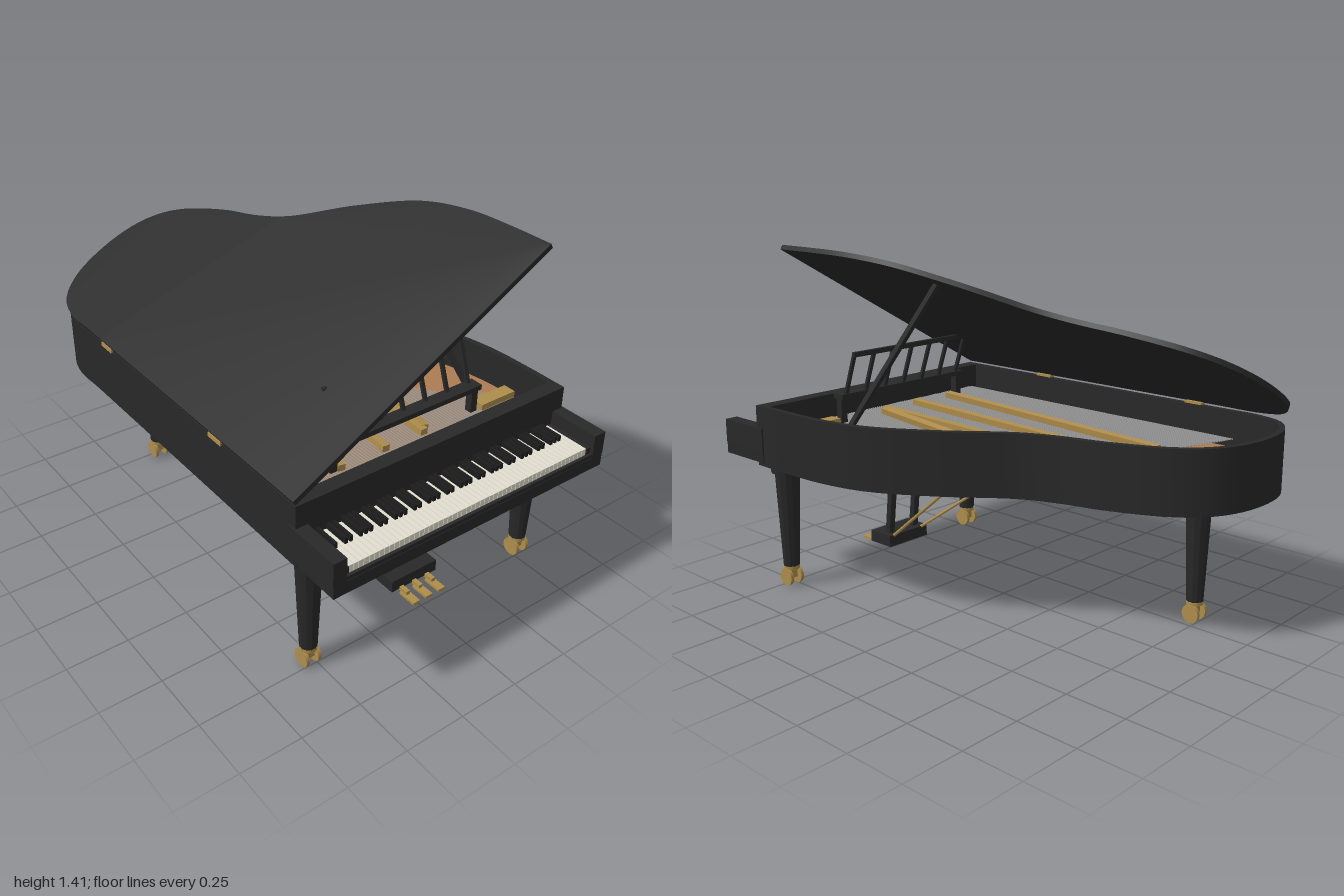
import * as THREE from 'three';
import { toCreasedNormals } from 'three/addons/utils/BufferGeometryUtils.js';

const paint = (name, color) => Object.assign(new THREE.MeshStandardMaterial({ color }), { name });
const black = paint('black lacquer', 0x282828);
const ebony = paint('ebony key', 0x1c1c1c);
const ivory = paint('ivory key', 0xe2ddd0);
const brass = paint('brass', 0xae8d4c);
const wood = paint('soundboard wood', 0xac7c52);
const steel = paint('string steel', 0x989898);

const V = (x, y, z) => new THREE.Vector3(x, y, z);

function add(parent, name, geometry, material, x = 0, y = 0, z = 0) {
  const mesh = new THREE.Mesh(geometry, material);
  mesh.name = name;
  mesh.position.set(x, y, z);
  parent.add(mesh);
  return mesh;
}

// box given by its low and high corners
function box(parent, name, material, [x0, y0, z0], [x1, y1, z1]) {
  return add(parent, name, new THREE.BoxGeometry(x1 - x0, y1 - y0, z1 - z0), material,
    (x0 + x1) / 2, (y0 + y1) / 2, (z0 + z1) / 2);
}

// straight bar between two points, square or round
function bar(parent, name, material, a, b, w, d = w, round = false) {
  const len = a.distanceTo(b);
  const geo = round ? new THREE.CylinderGeometry(w, w, len, 10) : new THREE.BoxGeometry(w, len, d);
  const mesh = add(parent, name, geo, material);
  mesh.position.copy(a).lerp(b, 0.5);
  mesh.quaternion.setFromUnitVectors(V(0, 1, 0), b.clone().sub(a).normalize());
  return mesh;
}

// curved case outline as (x, -z), from the front right round the tail to the front left
const caseCurve = new THREE.CatmullRomCurve3([
  [0.62, -0.79], [0.62, -0.6], [0.61, -0.4], [0.56, -0.19], [0.42, 0.05], [0.24, 0.29], [0.175, 0.44], [0.13, 0.6],
  [0.03, 0.82], [-0.06, 0.92], [-0.18, 0.98], [-0.34, 1], [-0.48, 0.975], [-0.58, 0.9], [-0.62, 0.78],
  [-0.62, 0.6], [-0.62, -0.79],
].map(([x, y]) => V(x, y, 0)), false, 'centripetal');

function outline(inset, front) {
  const pts = [];
  for (let i = 0; i <= 110; i++) {
    const p = caseCurve.getPointAt(i / 110), t = caseCurve.getTangentAt(i / 110);
    pts.push(new THREE.Vector2(p.x - t.y * inset, Math.max(p.y + t.x * inset, -front)));
  }
  return pts;
}

function slab(shape, depth) {
  const geo = new THREE.ExtrudeGeometry(shape, { depth, bevelEnabled: false });
  return toCreasedNormals(geo.rotateX(-Math.PI / 2), 0.5);
}

function buildCase(g) {
  const rim = new THREE.Shape(outline(0, 0.79));
  rim.holes.push(new THREE.Path(outline(0.025, 0.73)));
  add(g, 'rim', slab(rim, 0.24), black, 0, 0.54, 0);
  add(g, 'bottomBoard', slab(new THREE.Shape(outline(0, 0.79)), 0.015), black, 0, 0.53, 0);
  add(g, 'soundboard', slab(new THREE.Shape(outline(0.02, 0.735)), 0.015), wood, 0, 0.62, 0);
  // hinged lid, swung open about the straight side
  const lid = new THREE.Group();
  lid.name = 'lid';
  lid.position.set(-0.62, 0.787, 0);
  lid.rotation.z = THREE.MathUtils.degToRad(29.3);
  add(lid, 'lidPanel', slab(new THREE.Shape(outline(0, 0.79)), 0.02), black, 0.62, 0, 0);
  g.add(lid);
  for (const z of [-0.49, 0.31]) box(g, 'hinge', brass, [-0.626, 0.772, z - 0.04], [-0.6, 0.79, z + 0.04]);
  bar(g, 'lidProp', black, V(0.466, 0.67, 0.435), V(0.289, 1.3, 0.07), 0.02);
}

function buildInterior(g) {
  // strings shorten from bass to treble
  const tail = [[-0.56, -0.72], [-0.28, -0.63], [0.17, 0.2], [0.34, 0.44], [0.53, 0.58]];
  const endZ = x => {
    const k = Math.max(1, tail.findIndex(p => p[0] >= x));
    const [a, b] = [tail[k - 1], tail[k]];
    return THREE.MathUtils.mapLinear(x, a[0], b[0], a[1], b[1]);
  };
  for (let i = 0; i < 88; i++) {
    const x = -0.55 + i * 0.0122;
    box(g, 'string', steel, [x, 0.68, endZ(x)], [x + 0.004, 0.684, 0.72]);
  }
  // brass frame struts
  const struts = [[-0.3, 0.62, -0.18, -0.62], [-0.1, 0.62, -0.02, -0.55], [0.08, 0.62, 0.12, -0.35], [0.1, 0.6, 0.23, -0.1]];
  for (const [x0, z0, x1, z1] of struts) bar(g, 'frameStrut', brass, V(x0, 0.7, z0), V(x1, 0.7, z1), 0.03, 0.025);
  box(g, 'frontStrut', brass, [0.36, 0.69, 0.575], [0.53, 0.715, 0.63]);
}

function buildKeyboard(g) {
  box(g, 'keyBed', black, [-0.625, 0.545, 0.75], [0.625, 0.595, 1]);
  box(g, 'keySlip', black, [-0.572, 0.595, 0.985], [0.572, 0.61, 0.998]);
  for (const s of [-1, 1]) {
    add(g, 'keyArm', new THREE.BoxGeometry(0.055, 0.095, 0.25), black, s * 0.5995, 0.6425, 0.875);
    add(g, 'keyBlock', new THREE.BoxGeometry(0.02, 0.04, 0.195), black, s * 0.563, 0.615, 0.888);
  }
  const w = 1.106 / 52;
  for (let i = 0; i < 52; i++) {
    const x = -0.553 + i * w;
    box(g, 'whiteKey', ivory, [x + 0.001, 0.597, 0.788], [x + w - 0.001, 0.635, 0.982]);
    if (i < 51 && [0, 2, 3, 5, 6].includes(i % 7))
      box(g, 'blackKey', ebony, [x + w - 0.006, 0.63, 0.788], [x + w + 0.006, 0.657, 0.89]);
  }
}

function buildMusicDesk(g) {
  box(g, 'deskFoot', black, [-0.347, 0.79, 0.575], [0.347, 0.81, 0.63]);
  box(g, 'deskTopBar', black, [-0.32, 0.968, 0.523], [0.32, 0.988, 0.538]);
  for (let i = -3; i <= 3; i++)
    bar(g, 'deskPost', black, V(i * 0.105, 0.805, 0.59), V(i * 0.105, 0.975, 0.53), 0.015, 0.012);
  // shelf blocks holding the desk above the case
  for (const s of [-1, 1]) add(g, 'deskSupport', new THREE.BoxGeometry(0.03, 0.1, 0.03), black, s * 0.33, 0.74, 0.6);
}

function buildLeg(g, x, z) {
  const leg = new THREE.Group();
  leg.name = 'leg';
  leg.position.set(x, 0, z);
  g.add(leg);
  const facet = geo => geo.rotateY(Math.PI / 12).toNonIndexed();
  const parts = [['legCap', 0.066, 0.066, 0.495, 0.535], ['legShaft', 0.052, 0.034, 0.085, 0.495]];
  for (const [name, top, low, y0, y1] of parts) {
    const geo = facet(new THREE.CylinderGeometry(top, low, y1 - y0, 12));
    geo.computeVertexNormals();
    add(leg, name, geo, black, 0, (y0 + y1) / 2, 0);
  }
  // twin-wheel caster
  add(leg, 'casterPlate', new THREE.CylinderGeometry(0.034, 0.034, 0.015, 16), brass, 0, 0.079, 0);
  box(leg, 'casterBlock', brass, [-0.017, 0.03, -0.014], [0.017, 0.075, 0.014]);
  for (const s of [-1, 1])
    add(leg, 'casterWheel', new THREE.CylinderGeometry(0.037, 0.037, 0.014, 20).rotateZ(Math.PI / 2), brass, s * 0.026, 0.037, 0);
}

function buildPedals(g) {
  box(g, 'pedalBox', black, [-0.11, 0.087, 0.575], [0.11, 0.137, 0.7]);
  for (const s of [-1, 1]) {
    bar(g, 'lyrePost', black, V(s * 0.07, 0.13, 0.62), V(s * 0.07, 0.54, 0.575), 0.028, 0.026);
    bar(g, 'lyreBrace', brass, V(s * 0.08, 0.13, 0.585), V(s * 0.212, 0.535, 0.035), 0.007, 0, true);
  }
  for (const x of [-0.063, 0, 0.063]) {
    box(g, 'pedalArm', brass, [x - 0.009, 0.08, 0.69], [x + 0.009, 0.097, 0.74]);
    box(g, 'pedal', brass, [x - 0.016, 0.071, 0.71], [x + 0.016, 0.082, 0.79]);
  }
}

export function createModel() {
  const piano = new THREE.Group();
  piano.name = 'grandPiano';
  const builders = { caseBody: buildCase, interior: buildInterior, keyboard: buildKeyboard, musicDesk: buildMusicDesk, pedalLyre: buildPedals };
  for (const [name, build] of Object.entries(builders)) {
    const part = new THREE.Group();
    part.name = name;
    build(part);
    piano.add(part);
  }
  for (const [x, z] of [[-0.525, 0.73], [0.525, 0.73], [-0.305, -0.73]]) buildLeg(piano, x, z);
  return piano;
}
